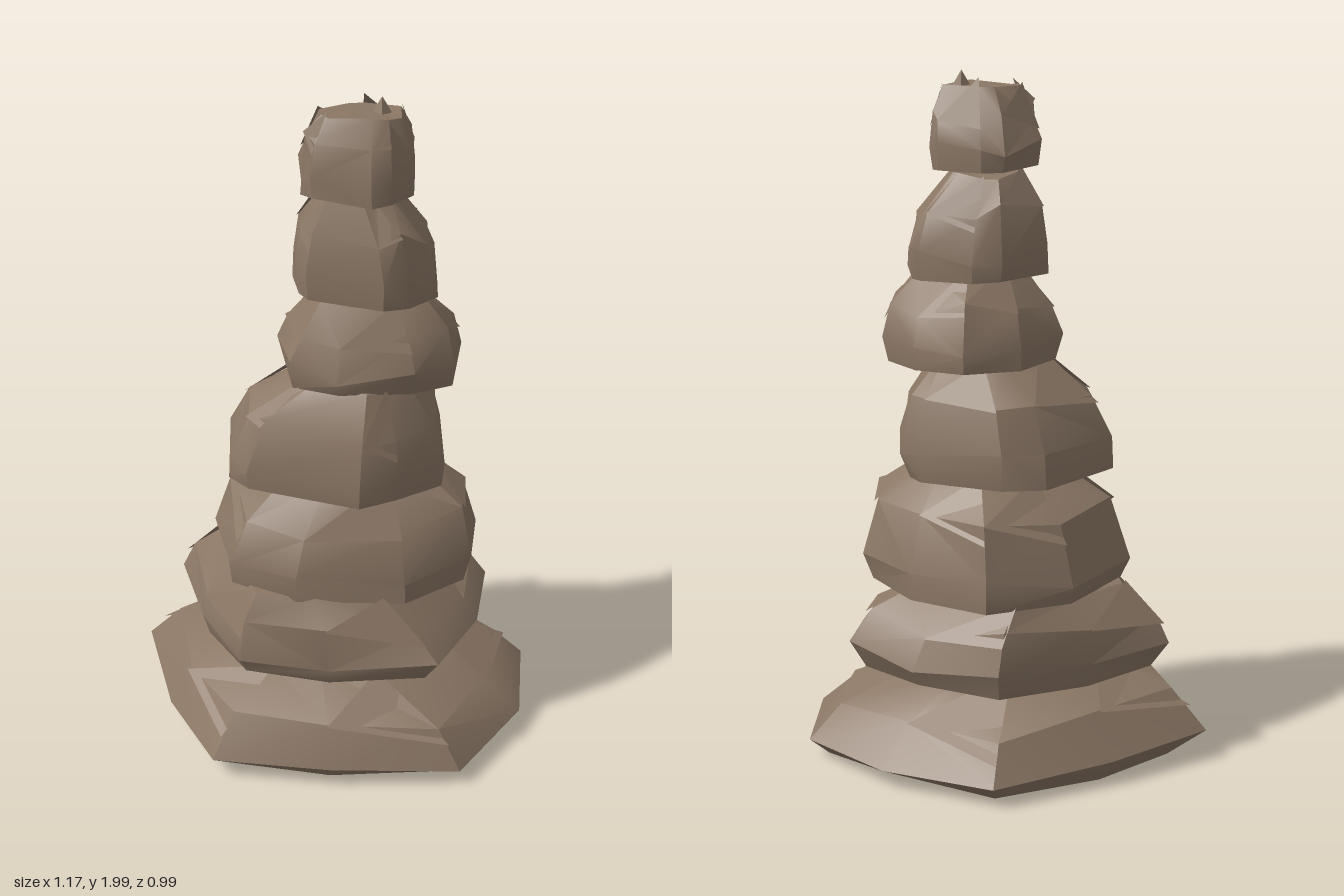
import * as THREE from 'three';
import { toCreasedNormals } from 'three/addons/utils/BufferGeometryUtils.js';

// Small seeded generator for the chipped irregularity of the stones
function seeded(seed) {
  let s = seed * 7919 + 17;
  return () => (s = (s * 16807) % 2147483647) / 2147483647;
}

// Plan outlines (x, z), running from the back round by the left side
const wide = [[0.02, -0.51], [0.34, -0.37], [0.59, -0.16], [0.56, 0.15], [0.4, 0.46],
  [0, 0.5], [-0.35, 0.45], [-0.51, 0.18], [-0.6, -0.15], [-0.33, -0.36]];
const blocky = [[0.05, -0.38], [0.27, -0.24], [0.42, -0.06], [0.4, 0.15], [0.22, 0.28],
  [-0.1, 0.29], [-0.3, 0.2], [-0.36, -0.05], [-0.2, -0.3]];
const round = Array.from({ length: 10 }, (_, i) => {
  const a = (i / 10) * Math.PI * 2 + 0.25 * Math.sin(i * 2.3);
  return [Math.sin(a), -Math.cos(a)];
});

// Each stone: bottom and top height, then xMin, xMax, zMin, zMax of its belly and its crown
const stones = [
  { name: 'baseStone', outline: wide, foot: 0.85, y: [0.01, 0.28],
    belly: [-0.6, 0.595, -0.51, 0.51], crown: [-0.27, 0.2, -0.2, 0.28] },
  { name: 'secondStone', outline: wide, foot: 0.93, y: [0.28, 0.54],
    belly: [-0.48, 0.46, -0.41, 0.37], crown: [-0.35, 0.24, -0.32, 0.3] },
  { name: 'thirdStone', outline: blocky, foot: 0.96, y: [0.53, 0.86],
    belly: [-0.37, 0.42, -0.38, 0.3], crown: [-0.18, 0.28, -0.18, 0.17] },
  { name: 'fourthStone', outline: round, foot: 0.97, y: [0.855, 1.18],
    belly: [-0.33, 0.31, -0.25, 0.3], crown: [-0.1, 0.2, -0.07, 0.21] },
  { name: 'fifthStone', outline: blocky, foot: 0.95, y: [1.17, 1.43],
    belly: [-0.165, 0.36, -0.19, 0.22], crown: [-0.07, 0.25, -0.05, 0.15] },
  { name: 'sixthStone', outline: round, foot: 0.97, y: [1.425, 1.715],
    belly: [-0.13, 0.285, -0.15, 0.2], crown: [-0.05, 0.15, -0.05, 0.14] },
  { name: 'topStone', outline: round, foot: 0.97, y: [1.73, 1.96],
    belly: [-0.11, 0.22, -0.1, 0.19], crown: [-0.05, 0.18, 0, 0.13] },
];

const lerp = THREE.MathUtils.lerp;
const span = (values) => [Math.min(...values), Math.max(...values)];

// Four chipped rings of points: foot, belly, shoulder and crown
function stoneRings({ outline, foot, y, belly, crown }, rand) {
  const [ax, bx] = span(outline.map((p) => p[0]));
  const [az, bz] = span(outline.map((p) => p[1]));
  const levels = [
    { t: 0, blend: 0, scale: foot, rough: 0.01 },
    { t: 0.25, blend: 0, scale: 1, rough: 0.05 },
    { t: 0.68, blend: 0.3, scale: 1, rough: 0.06 },
    { t: 1, blend: 1, scale: 1, rough: 0.02 },
  ];
  return levels.map(({ t, blend, scale, rough }) => {
    const [x0, x1, z0, z1] = belly.map((b, i) => lerp(b, crown[i], blend));
    const cx = (x0 + x1) / 2, cz = (z0 + z1) / 2;
    return outline.map(([px, pz]) => {
      const k = scale * (1.02 - 0.08 * rand());
      const x = lerp(x0, x1, (px - ax) / (bx - ax));
      const z = lerp(z0, z1, (pz - az) / (bz - az));
      const lift = t === 0 ? rough * rand() : rough * (rand() - 0.5);
      return new THREE.Vector3(cx + (x - cx) * k, lerp(y[0], y[1], t) + lift, cz + (z - cz) * k);
    });
  });
}

function stoneGeometry(rings, rand) {
  const n = rings[0].length;
  const points = rings.flat();
  const index = [];

  // Sides, with the diagonals turned at random to make broken facets
  for (let r = 0; r < rings.length - 1; r++) {
    for (let i = 0; i < n; i++) {
      const a = r * n + i, b = r * n + (i + 1) % n, c = a + n, d = b + n;
      if (rand() < 0.5) index.push(a, c, b, b, c, d);
      else index.push(a, c, d, a, d, b);
    }
  }

  // Bottom and top faces
  const last = (rings.length - 1) * n;
  for (let i = 1; i < n - 1; i++) {
    index.push(0, i, i + 1, last, last + i + 1, last + i);
  }

  const geometry = new THREE.BufferGeometry().setFromPoints(points);
  geometry.setIndex(index);
  return toCreasedNormals(geometry, 0.5);
}

// Thin splinters split from the shoulder, standing slightly off the stone
function splinterGeometry(rings, rand) {
  const n = rings[0].length;
  const [, belly, shoulder, crown] = rings;
  const axis = crown.reduce((sum, p) => sum.add(p), new THREE.Vector3()).divideScalar(n);
  const points = [];
  for (let i = 0; i < n; i += 2) {
    const tip = crown[i].clone();
    tip.y += 0.035 * rand();
    const edge = shoulder[(i + 1) % n].clone();
    const root = shoulder[i].clone().lerp(belly[i], 0.5 * rand());
    for (const p of [tip, edge, root]) {
      p.x += (p.x - axis.x) * 0.03;
      p.z += (p.z - axis.z) * 0.03;
      points.push(p);
    }
  }
  const geometry = new THREE.BufferGeometry().setFromPoints(points);
  geometry.computeVertexNormals();
  return geometry;
}

export function createModel() {
  const group = new THREE.Group();
  group.name = 'stoneStack';
  const rock = new THREE.MeshStandardMaterial({ color: 0x8b7765 });
  const thinRock = new THREE.MeshStandardMaterial({ color: 0x8b7765, side: THREE.DoubleSide });

  stones.forEach((stone, i) => {
    const rand = seeded(i + 3);
    const rings = stoneRings(stone, rand);
    const body = new THREE.Mesh(stoneGeometry(rings, rand), rock);
    body.name = stone.name;
    const splinters = new THREE.Mesh(splinterGeometry(rings, rand), thinRock);
    splinters.name = stone.name + 'Splinters';
    group.add(body, splinters);
  });

  // Pointed chip on the summit
  const chip = new THREE.Mesh(new THREE.ConeGeometry(0.07, 0.12, 4), rock);
  chip.geometry = toCreasedNormals(chip.geometry, 0.5);
  chip.name = 'summitChip';
  chip.position.set(0.12, 1.94, 0.06);
  group.add(chip);
  return group;
}
